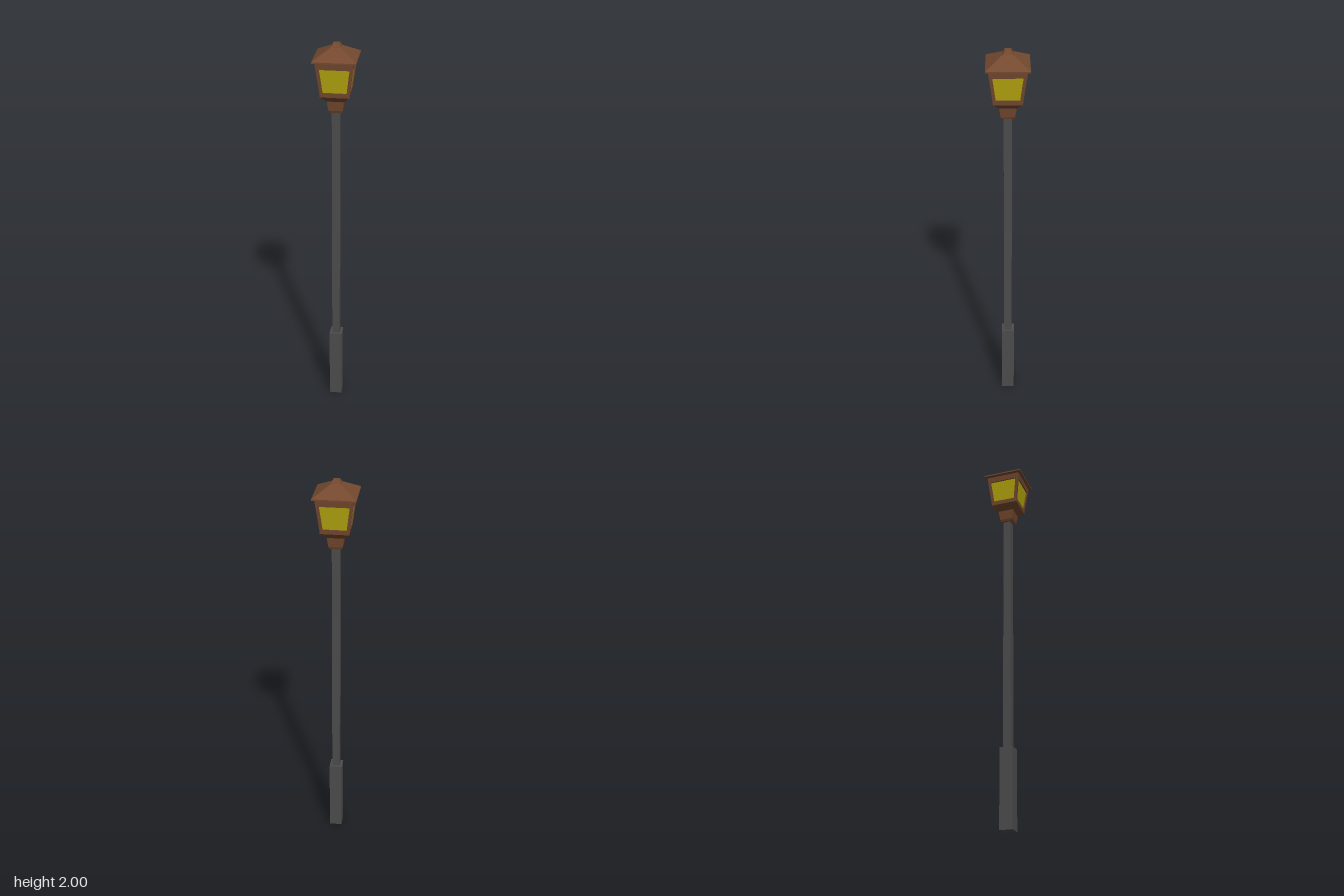
import * as THREE from 'three';

const material = (color) => new THREE.MeshStandardMaterial({ color, flatShading: true });

// Square solid of revolution: profile is a list of [half width, height], bottom to top
function squareLathe(name, profile, mat) {
  const points = profile.map(([half, y]) => new THREE.Vector2(half * Math.SQRT2, y));
  const mesh = new THREE.Mesh(new THREE.LatheGeometry(points, 4, Math.PI / 4), mat);
  mesh.name = name;
  return mesh;
}

export function createModel() {
  const group = new THREE.Group();
  group.name = 'streetLamp';
  const iron = material(0x4c4c4c);
  const copper = material(0x74492f);
  const glass = material(0xb5a60f);

  // Base and pole
  group.add(squareLathe('base', [[0, 0], [0.033, 0], [0.033, 0.4], [0, 0.4]], iron));
  group.add(squareLathe('pole', [[0.02, 0.4], [0.02, 1.68]], iron));

  // Flared socket and lower rim of the lantern
  group.add(squareLathe('socket', [
    [0, 1.668], [0.029, 1.668], [0.034, 1.68], [0.041, 1.728],
    [0.069, 1.757], [0.071, 1.779], [0, 1.779],
  ], copper));

  // Glass, set back behind the frame
  group.add(squareLathe('glass', [[0.065, 1.777], [0.08, 1.897]], glass));

  // Corner posts leaning outwards
  const bottom = 1.777, top = 1.897, width = 0.015;
  for (const sx of [-1, 1]) {
    for (const sz of [-1, 1]) {
      const geometry = new THREE.BoxGeometry(width, top - bottom, width);
      const pos = geometry.attributes.position;
      for (let i = 0; i < pos.count; i++) {
        const t = pos.getY(i) > 0 ? 1 : 0;
        const centre = THREE.MathUtils.lerp(0.071, 0.086, t) - width / 2;
        pos.setXYZ(i, pos.getX(i) + sx * centre, t ? top : bottom, pos.getZ(i) + sz * centre);
      }
      geometry.computeVertexNormals();
      const post = new THREE.Mesh(geometry, copper);
      post.name = 'cornerPost';
      group.add(post);
    }
  }

  // Upper rim
  group.add(squareLathe('upperRim', [[0, 1.895], [0.086, 1.895], [0.09, 1.927]], copper));

  // Pyramid roof with a thin eave and a small cap
  group.add(squareLathe('roof', [
    [0, 1.924], [0.09, 1.924], [0.1025, 1.928], [0.1025, 1.935], [0.025, 1.982],
  ], copper));
  group.add(squareLathe('roofCap', [[0.025, 1.982], [0.014, 2], [0, 2]], copper));

  return group;
}
